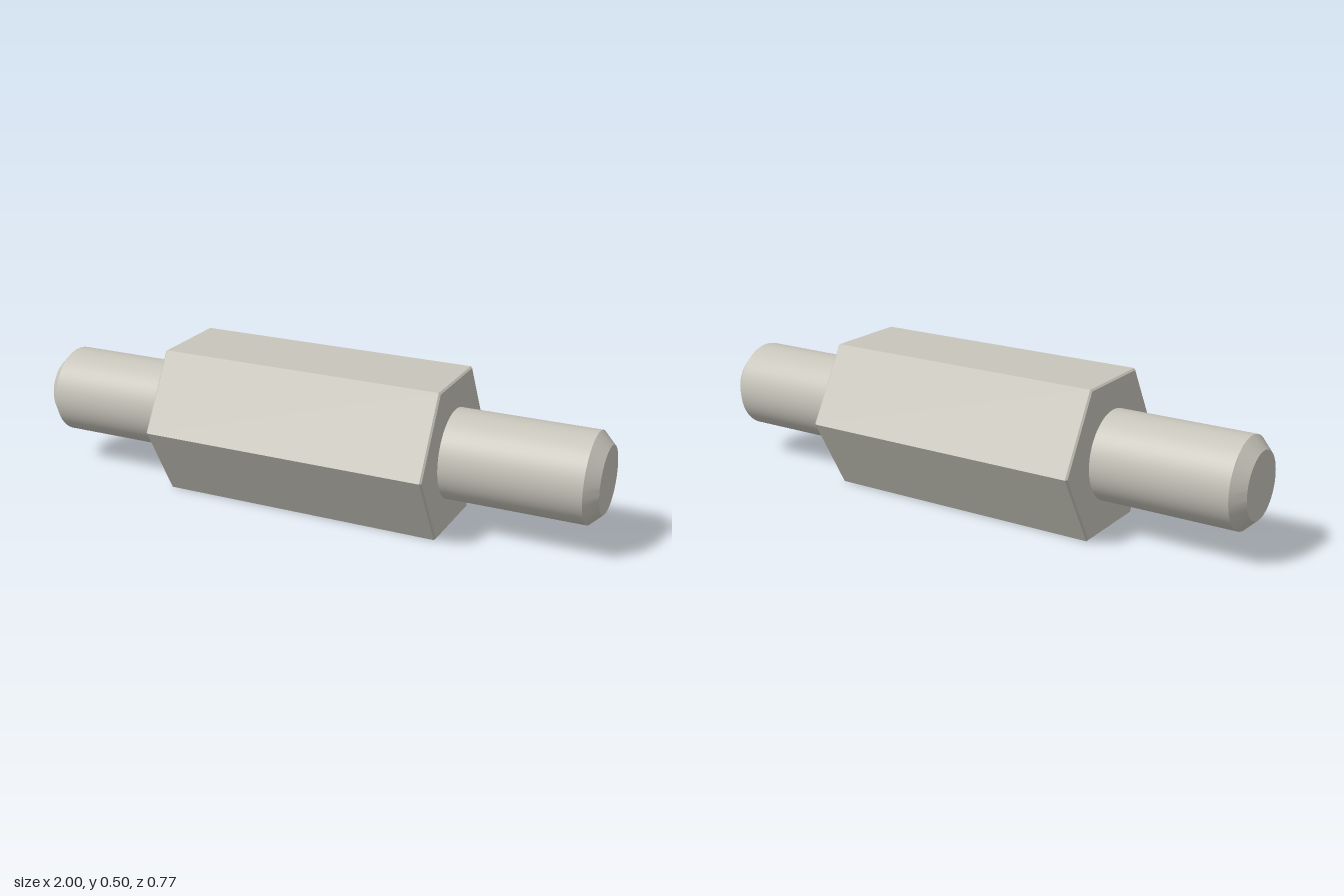
import * as THREE from 'three';
import { toCreasedNormals } from 'three/addons/utils/BufferGeometryUtils.js';

// Turned part lying along x, from [radius, position] points
function turned(name, profile, sides, material) {
  const points = profile.map(([r, x]) => new THREE.Vector2(r, x));
  const geometry = new THREE.LatheGeometry(points, sides);
  geometry.rotateZ(-Math.PI / 2);
  const mesh = new THREE.Mesh(toCreasedNormals(geometry, 0.4), material);
  mesh.name = name;
  return mesh;
}

export function createModel() {
  const model = new THREE.Group();
  model.name = 'hexStandoff';
  const steel = new THREE.MeshStandardMaterial({ color: 0xc8c5bb });
  steel.name = 'pale steel';

  // Hexagonal body, flats at top and bottom, with finely broken end edges
  const corner = 0.25 / Math.cos(Math.PI / 6);
  const inset = corner - 0.006;
  model.add(turned('hexBody', [
    [0, -0.494], [inset, -0.494], [corner, -0.488],
    [corner, 0.488], [inset, 0.494], [0, 0.494],
  ], 6, steel));

  // Round studs with chamfered tips, one at each end
  const stud = [[0.15, 0.49], [0.15, 0.958], [0.11, 0.999], [0, 0.999]];
  const right = turned('leftStud', stud, 72, steel);
  const left = turned('rightStud', stud, 72, steel);
  left.rotation.y = Math.PI;
  model.add(right, left);

  // Lies slightly turned on the ground
  model.rotation.y = THREE.MathUtils.degToRad(-12);
  model.position.y = 0.25;
  const root = new THREE.Group();
  root.name = 'standoff';
  root.add(model);
  return root;
}
